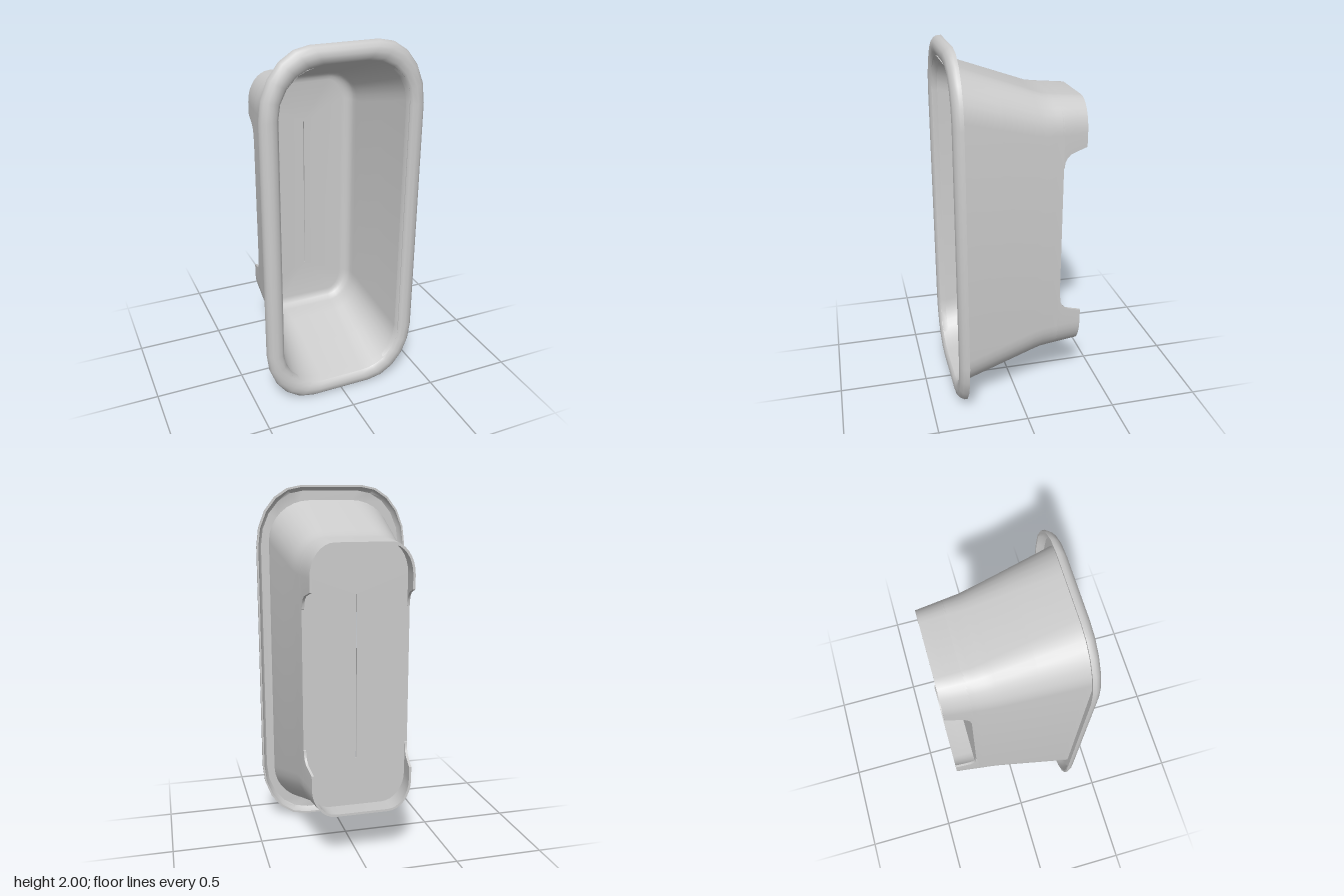
import * as THREE from 'three';
import { toCreasedNormals } from 'three/addons/utils/BufferGeometryUtils.js';

const WALL = 0.013;
const material = new THREE.MeshStandardMaterial({ color: 0xcccccc, side: THREE.DoubleSide });

// Wall cross-section by depth: z, half width, half height, corner radii
const stations = [
  [0.345, 0.364, 0.917, 0.24, 0.23],
  [0.31, 0.36, 0.905, 0.24, 0.23],
  [-0.09, 0.309, 0.765, 0.17, 0.2],
  [-0.14, 0.303, 0.747, 0.16, 0.19],
  [-0.19, 0.297, 0.74, 0.15, 0.185],
  [-0.36, 0.275, 0.725, 0.13, 0.17],
];

function section(z, inset = 0) {
  let i = 0;
  while (i < stations.length - 2 && z < stations[i + 1][0]) i++;
  const a = stations[i], b = stations[i + 1];
  const t = (z - a[0]) / (b[0] - a[0]);
  const [hx, hy, rx, ry] = [1, 2, 3, 4].map((k) => a[k] + (b[k] - a[k]) * t - inset);
  return { z, hx, hy, rx: Math.max(rx, 0.001), ry: Math.max(ry, 0.001) };
}

// Points of one rounded corner, counter-clockwise; quadrant 0 is +x +y
function corner({ hx, hy, rx, ry, z }, quadrant, segs) {
  const sx = quadrant === 0 || quadrant === 3 ? 1 : -1;
  const sy = quadrant < 2 ? 1 : -1;
  return Array.from({ length: segs + 1 }, (_, i) => {
    const a = (quadrant + i / segs) * Math.PI / 2;
    return [sx * (hx - rx) + rx * Math.cos(a), 1 + sy * (hy - ry) + ry * Math.sin(a), z];
  });
}

const ring = (s, segs) => [0, 1, 2, 3].flatMap((q) => corner(s, q, segs));

// Skin a list of closed rings with equal point counts
function loft(rings, crease) {
  const n = rings[0].length, index = [];
  for (let i = 0; i < rings.length - 1; i++) {
    for (let j = 0; j < n; j++) {
      const a = i * n + j, b = i * n + (j + 1) % n;
      index.push(a, a + n, b, b, a + n, b + n);
    }
  }
  const geometry = new THREE.BufferGeometry();
  geometry.setAttribute('position', new THREE.Float32BufferAttribute(rings.flat(2), 3));
  geometry.setIndex(index);
  return toCreasedNormals(geometry, crease);
}

function addMesh(group, name, geometry) {
  const mesh = new THREE.Mesh(geometry, material);
  mesh.name = name;
  group.add(mesh);
  return mesh;
}

// Tapered tub: outside wall, underside of floor, inside floor, inside wall
function tubGeometry() {
  const outer = [0.345, 0.31, 0.1, -0.09, -0.14, -0.19, -0.232].map((z) => section(z));
  const line = (z) => ({ z, hx: 0.002, hy: 0.45, rx: 0.001, ry: 0.001 });
  const fillet = [0, 1, 2, 3, 4].map((i) => {
    const a = (1 - i / 4) * Math.PI / 2, r = 0.05;
    const z = -0.22 + r * (1 - Math.sin(a));
    return section(z, WALL + r * (1 - Math.cos(a)));
  });
  const inner = [-0.14, -0.09, 0.1, 0.31, 0.345].map((z) => section(z, WALL));
  const rows = [...outer, line(-0.232), line(-0.22), ...fillet, ...inner];
  return loft(rows.map((s) => ring(s, 8)), 0.6);
}

// Rolled rim, hollow behind: inset from the outer edge, z
function rimGeometry() {
  const profile = [
    [0.096, 0.315], [0.09, 0.34], [0.075, 0.354], [0.05, 0.36], [0.025, 0.355],
    [0.008, 0.34], [0, 0.325], [0, 0.308], [0.01, 0.308], [0.015, 0.328],
    [0.03, 0.343], [0.085, 0.343], [0.096, 0.315],
  ];
  const rows = profile.map(([d, z]) => ring({
    z, hx: 0.44 - d, hy: 1 - d, rx: 0.26 - 0.3 * d, ry: 0.34 - 1.1 * d,
  }, 5));
  return loft(rows, 0.7);
}

// Back skirt around one end, its side edges flaring into the side cutouts
function skirtGeometry() {
  const edge = [
    [-0.222, 1.37], [-0.235, 1.38], [-0.239, 1.41], [-0.25, 1.432],
    [-0.27, 1.452], [-0.3, 1.463], [-0.36, 1.482],
  ];
  const path = (s, y) => [
    [s.hx, y, s.z], ...corner(s, 0, 8), ...corner(s, 1, 8), [-s.hx, y, s.z],
  ];
  const rows = edge.map(([z, y]) => [
    ...path(section(z), y), ...path(section(z, WALL), y).reverse(),
  ]);
  // Close the back edge by folding the last row onto the inner wall
  const last = rows[rows.length - 1], n = last.length;
  rows.push(last.map((p, j) => (j < n / 2 ? last[n - 1 - j] : p)));
  return loft(rows, 0.6);
}

export function createModel() {
  const model = new THREE.Group();
  model.name = 'recessedTub';
  addMesh(model, 'tub', tubGeometry());
  addMesh(model, 'rim', rimGeometry());
  addMesh(model, 'upperSkirt', skirtGeometry());
  // Half turn about the depth axis through mid height
  const lower = addMesh(model, 'lowerSkirt', skirtGeometry());
  lower.rotation.z = Math.PI;
  lower.position.y = 2;
  return model;
}
